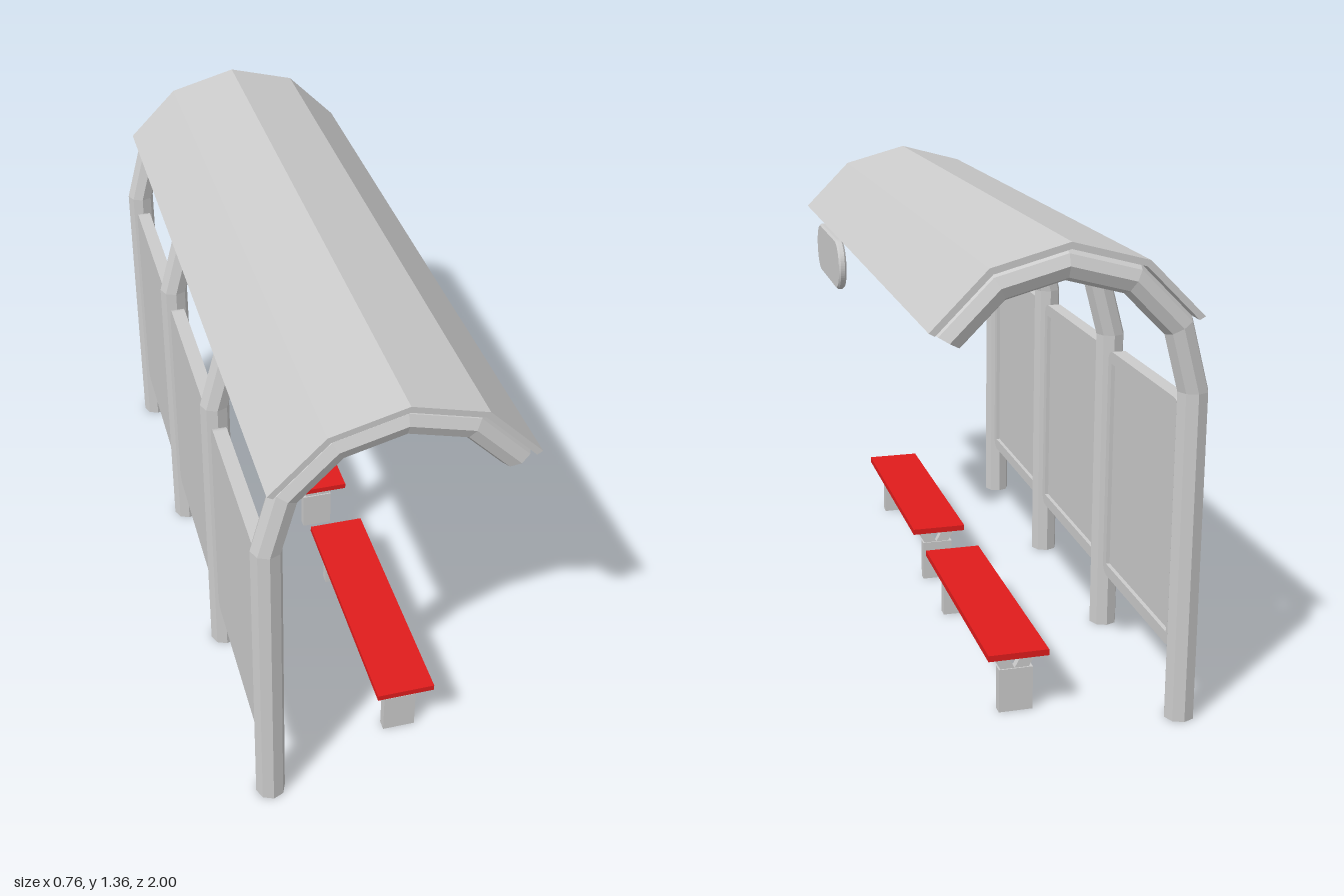
import * as THREE from 'three';

const grey = new THREE.MeshStandardMaterial({ color: 0xcccccc, flatShading: true });
const red = new THREE.MeshStandardMaterial({ color: 0xe01c1c, flatShading: true });

const AXIS_X = 0.012, AXIS_Y = 0.94; // centre of the roof arc
const ARC = 0.353, TUBE = 0.043;

function add(parent, name, geometry, material = grey) {
  const mesh = new THREE.Mesh(geometry, material);
  mesh.name = name;
  parent.add(mesh);
  return mesh;
}

function box(parent, name, x0, x1, y0, y1, z0, z1, material) {
  const mesh = add(parent, name, new THREE.BoxGeometry(x1 - x0, y1 - y0, z1 - z0), material);
  mesh.position.set((x0 + x1) / 2, (y0 + y1) / 2, (z0 + z1) / 2);
  return mesh;
}

// Rounded rectangle centred on the origin
function roundedRect(w, h, r) {
  const s = new THREE.Shape();
  const x = w / 2 - r, y = h / 2 - r;
  s.absarc(x, y, r, 0, Math.PI / 2);
  s.absarc(-x, y, r, Math.PI / 2, Math.PI);
  s.absarc(-x, -y, r, Math.PI, Math.PI * 1.5);
  s.absarc(x, -y, r, Math.PI * 1.5, Math.PI * 2);
  s.closePath();
  return s;
}

// Upright post that bends over into a roof rib
function makeRib(z) {
  const rib = new THREE.Group();
  rib.name = 'rib';
  const post = add(rib, 'post', new THREE.CylinderGeometry(TUBE, TUBE, AXIS_Y, 8));
  post.position.set(AXIS_X - ARC, AXIS_Y / 2, 0);
  const arch = add(rib, 'arch', new THREE.TorusGeometry(ARC, TUBE, 8, 5, Math.PI * 5 / 6));
  arch.rotation.z = Math.PI / 6;
  arch.position.set(AXIS_X, AXIS_Y, 0);
  const cap = add(arch, 'archEnd', new THREE.CircleGeometry(TUBE, 8).rotateX(Math.PI / 2));
  cap.position.x = ARC;
  rib.position.z = z;
  return rib;
}

// Faceted curved sheet over the ribs
function makeRoof() {
  const s = new THREE.Shape();
  const outer = 0.415, inner = 0.397;
  const point = (r, i) => {
    const a = Math.PI / 6 * (1 + i);
    return new THREE.Vector2(AXIS_X + r * Math.cos(a), AXIS_Y + r * Math.sin(a));
  };
  const points = [];
  for (let i = 0; i <= 4; i++) points.push(point(outer, i));
  for (let i = 4; i >= 0; i--) points.push(point(inner, i));
  s.setFromPoints(points);
  return new THREE.ExtrudeGeometry(s, { depth: 2, bevelEnabled: false }).translate(0, 0, -1);
}

// Back panel: plain at the rear, framed towards the seats
function makePanel(z) {
  const panel = new THREE.Group();
  panel.name = 'backPanel';
  const w = 0.55, h = 0.715;
  add(panel, 'panelSheet', new THREE.ExtrudeGeometry(roundedRect(w, h, 0.035),
    { depth: 0.03, bevelEnabled: false, curveSegments: 4 }));
  const frame = roundedRect(w, h, 0.035);
  const hw = w / 2 - 0.027, hh = h / 2 - 0.037;
  frame.holes.push(new THREE.Path([
    new THREE.Vector2(-hw, -hh), new THREE.Vector2(-hw, hh),
    new THREE.Vector2(hw, hh), new THREE.Vector2(hw, -hh)]));
  add(panel, 'panelFrame', new THREE.ExtrudeGeometry(frame,
    { depth: 0.012, bevelEnabled: false, curveSegments: 4 })).position.z = 0.03;
  panel.rotation.y = Math.PI / 2;
  panel.position.set(-0.364, 0.543, z);
  return panel;
}

// Bench: red seat on two block feet with splayed arms
function makeBench(zCentre) {
  const bench = new THREE.Group();
  bench.name = 'bench';
  const mid = 0.093;
  box(bench, 'seat', 0.007, 0.18, 0.179, 0.197, -0.385, 0.385, red);
  for (const z of [-0.33, 0.33]) {
    box(bench, 'foot', 0.041, 0.139, 0, 0.13, z - 0.015, z + 0.015);
    for (const side of [-1, 1]) {
      const arm = new THREE.Shape([[0.07, 0.18], [0.027, 0.18], [0, 0.13], [0.041, 0.13]]
        .map(([x, y]) => new THREE.Vector2(mid + side * x, y)));
      add(bench, 'arm', new THREE.ExtrudeGeometry(arm, { depth: 0.022, bevelEnabled: false }))
        .position.z = z - 0.011;
    }
  }
  bench.position.z = zCentre;
  return bench;
}

export function createModel() {
  const shelter = new THREE.Group();
  shelter.name = 'shelter';

  for (const z of [0.955, 0.32, -0.315, -0.952]) shelter.add(makeRib(z));
  for (const z of [0.641, 0.003, -0.635]) shelter.add(makePanel(z));
  for (const z of [0.485, -0.47]) shelter.add(makeBench(z));
  add(shelter, 'roof', makeRoof());

  // Pill-shaped hanging sign under the front edge of the roof
  const bevel = 0.006;
  const sign = add(shelter, 'sign', new THREE.ExtrudeGeometry(
    roundedRect(0.462 - 2 * bevel, 0.164 - 2 * bevel, 0.082 - bevel - 0.0005),
    { depth: 0.013, bevelThickness: bevel, bevelSize: bevel, bevelSegments: 1, curveSegments: 8 }));
  sign.rotation.y = Math.PI / 2;
  sign.position.set(0.361, 1.057, 0.495);

  return shelter;
}
